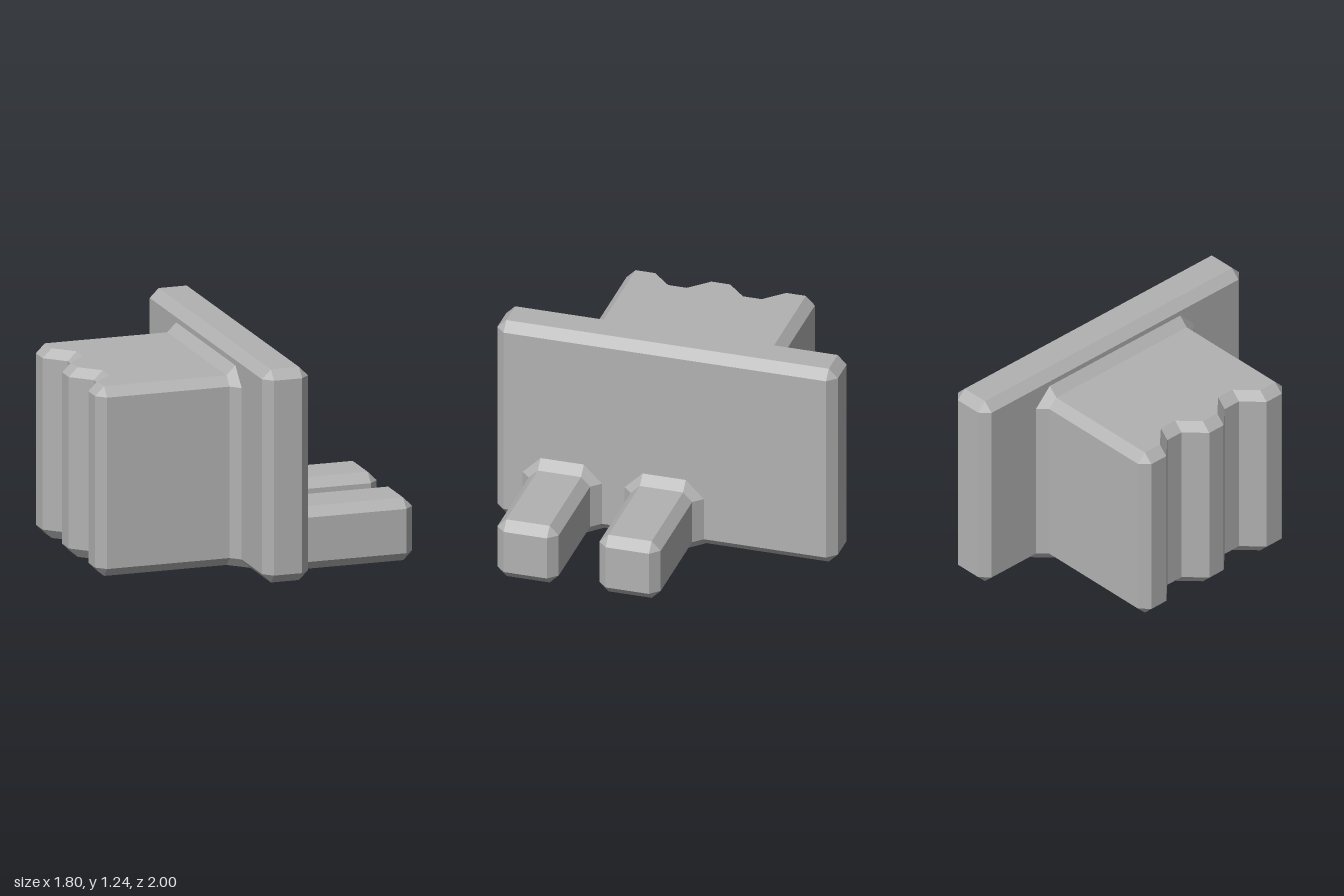
import * as THREE from 'three';
import { ConvexGeometry } from 'three/addons/geometries/ConvexGeometry.js';

const C = 0.053; // chamfer width
const grey = new THREE.MeshStandardMaterial({ color: 0xb2b2b2 });

// Box with every edge and corner chamfered, standing on y = 0
function chamferedBox(w, h, d) {
  const points = [];
  for (const sx of [-1, 1]) for (const sy of [-1, 1]) for (const sz of [-1, 1])
    for (let axis = 0; axis < 3; axis++) {
      const p = [w / 2, h / 2, d / 2].map((s, i) => (i === axis ? s : s - C));
      points.push(new THREE.Vector3(sx * p[0], sy * p[1] + h / 2, sz * p[2]));
    }
  return new ConvexGeometry(points);
}

// Chamfered block growing along +x from a wall at x = 0, flared where it meets the wall.
// endPoints shape the far end, as [x, z] pairs running from -z to +z.
function wallBlock(length, height, half, endPoints = []) {
  const inner = half - C;
  const outline = [
    [0, -half - C], [C, -half], [length - C, -half], [length, -inner],
    ...endPoints,
    [length, inner], [length - C, half], [C, half], [0, half + C],
  ];
  const last = outline.length - 1;
  const isRoot = i => i === 0 || i === last;
  const inset = ([x, z]) => (Math.abs(z) <= inner + 1e-6 ? [x - C, z] : [x, Math.sign(z) * inner]);

  const bottom = outline.map((p, i) => {
    const [x, z] = isRoot(i) ? [-C, p[1]] : inset(p);
    return new THREE.Vector3(x, 0, z);
  });
  const lower = outline.map(([x, z]) => new THREE.Vector3(x, C, z));
  const upper = outline.map(([x, z]) => new THREE.Vector3(x, height - C, z));
  const top = outline.map((p, i) => {
    const [x, z] = inset(p);
    return new THREE.Vector3(x, height + (isRoot(i) ? C : 0), z);
  });

  const pos = [];
  const tri = (...v) => v.forEach(p => pos.push(p.x, p.y, p.z));

  // Chamfers and walls between neighbouring rings
  const rings = [bottom, lower, upper, top];
  for (let r = 0; r < 3; r++) for (let i = 0; i < last; i++) {
    const a = rings[r], b = rings[r + 1];
    tri(a[i], b[i], b[i + 1]);
    tri(a[i], b[i + 1], a[i + 1]);
  }

  // Top and bottom faces, plus the strip that joins each to the wall
  const facing = (a, b, c, sign) => {
    const y = (b.z - a.z) * (c.x - a.x) - (b.x - a.x) * (c.z - a.z);
    if (y * sign > 0) tri(a, b, c); else tri(a, c, b);
  };
  for (const [ring, sign] of [[bottom, -1], [top, 1]]) {
    const face = ring.slice(1, last).filter((p, i, list) => i === 0 || p.distanceTo(list[i - 1]) > 1e-6);
    const flat = face.map(p => new THREE.Vector2(p.x, p.z));
    for (const [a, b, c] of THREE.ShapeUtils.triangulateShape(flat, []))
      facing(face[a], face[b], face[c], sign);
    facing(ring[0], ring[1], ring[last - 1], sign);
    facing(ring[0], ring[last - 1], ring[last], sign);
  }

  const geometry = new THREE.BufferGeometry();
  geometry.setAttribute('position', new THREE.Float32BufferAttribute(pos, 3));
  geometry.computeVertexNormals();
  return geometry;
}

export function createModel() {
  const group = new THREE.Group();
  const add = (name, geometry, x, z = 0) => {
    const mesh = new THREE.Mesh(geometry, grey);
    mesh.name = name;
    mesh.position.set(x, 0, z);
    group.add(mesh);
    return mesh;
  };

  // Upright plate
  add('plate', chamferedBox(0.273, 1.236, 2), 0.068);

  // Large block with two vertical grooves in its end
  const length = 0.834, grooves = [];
  for (const z of [-0.22, 0.22]) {
    grooves.push([length, z - 0.165], [length - 0.11, z - 0.055],
      [length - 0.11, z + 0.055], [length, z + 0.165]);
  }
  add('groovedBlock', wallBlock(length, 1.1, 0.553, grooves), -0.069).rotation.y = Math.PI;

  // Two prongs on the other side
  const prong = wallBlock(0.697, 0.363, 0.18);
  add('middleProng', prong, 0.204, 0.003);
  add('frontProng', prong, 0.204, 0.602);

  return group;
}
